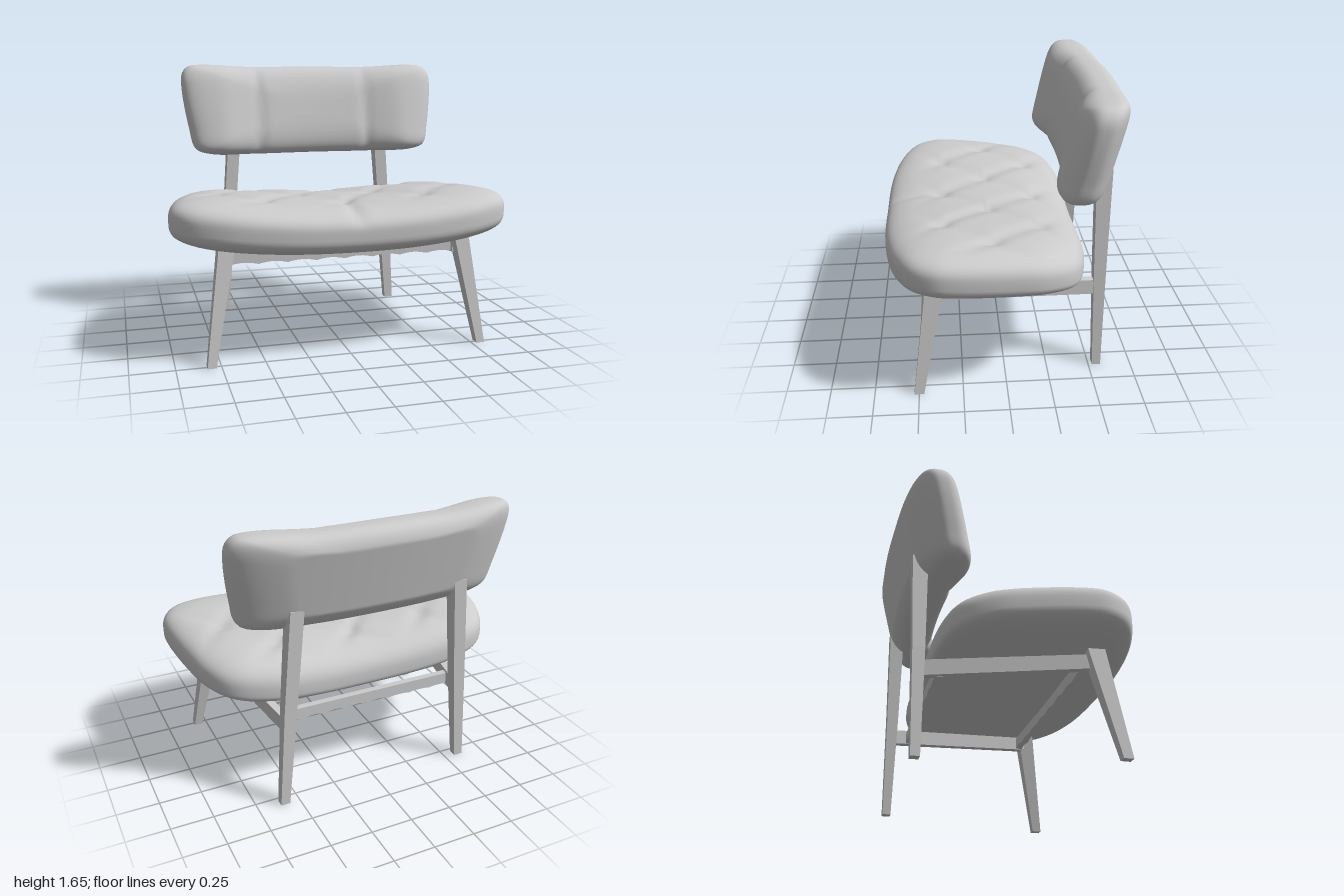
import * as THREE from 'three';
import { mergeVertices } from 'three/addons/utils/BufferGeometryUtils.js';

const RINGS = 36, SIDES = 160;
const { smoothstep, lerp } = THREE.MathUtils;
const gauss = (d, w) => Math.exp(-((d / w) ** 2));

// Closed smooth outline from its right half, mirrored across x = 0
function outline(half) {
  const left = half.slice(1, -1).reverse().map(([x, v]) => [-x, v]);
  const pts = [...half, ...left].map(([x, v]) => new THREE.Vector3(x, v, 0));
  return new THREE.CatmullRomCurve3(pts, true, 'centripetal').getSpacedPoints(SIDES).slice(0, SIDES);
}

// Closed cushion: rings grow from the middle of the show face to the rim and
// shrink back to the middle of the flat face. place(x, v, s, face) -> [x, y, z]
function cushion(name, half, centre, place, material) {
  const rim = outline(half), pos = [], index = [];
  for (let k = 0; k <= 2 * RINGS; k++) {
    const face = k <= RINGS ? 1 : -1;
    const s = k === 2 * RINGS ? 0 : Math.sin((k / RINGS) * Math.PI / 2);
    for (const p of rim) pos.push(...place(p.x * s, centre + (p.y - centre) * s, s, face));
  }
  for (let k = 0; k < 2 * RINGS; k++) {
    for (let i = 0; i < SIDES; i++) {
      const j = (i + 1) % SIDES;
      const a = k * SIDES + i, b = k * SIDES + j, c = a + SIDES, d = b + SIDES;
      if (k > 0) index.push(a, c, b);
      if (k < 2 * RINGS - 1) index.push(b, c, d);
    }
  }
  let geo = new THREE.BufferGeometry();
  geo.setAttribute('position', new THREE.Float32BufferAttribute(pos, 3));
  geo.setIndex(index);
  geo = mergeVertices(geo, 1e-5);
  geo.computeVertexNormals();
  const mesh = new THREE.Mesh(geo, material);
  mesh.name = name;
  return mesh;
}

// Rounded edge profile: 1 over the middle, 0 at the rim
const puff = (s, n) => Math.pow(Math.max(0, 1 - Math.pow(Math.abs(s), n)), 1 / n);
// Same with a flat middle that ends in a border line
const panel = (s, n) => Math.min(1, puff(s, n) * 1.15);

// Diamond tufting: distance to the nearest crease of a diagonal lattice
function tufting(x, z) {
  const u = x / 0.48, v = (z + 0.2) / 0.55;
  const near = (t) => Math.abs(t - Math.round(t));
  const a = near(u + v), b = near(u - v);
  const fade = smoothstep(0.95 - Math.abs(x), 0, 0.25) * smoothstep(0.55 - z, 0, 0.25) * smoothstep(z + 0.42, 0, 0.2);
  return fade * (0.014 * Math.max(gauss(a, 0.15), gauss(b, 0.15)) + 0.022 * gauss(Math.hypot(a, b), 0.14));
}

function placeSeat(x, z, s, face) {
  const mid = 0.69 + 0.08 * z + 0.08 * x * x;
  const top = 0.876 + 0.13 * x * x + 0.035 * z;
  const bottom = 0.587 + 0.05 * z + 0.06 * x * x;
  if (face < 0) return [x, mid + (bottom - mid) * panel(s, 4), z];
  // Short seam over the front edge
  const seam = 0.02 * gauss(x, 0.04) * smoothstep(z, 0.3, 0.5) * puff(s, 3);
  return [x, mid + (top - mid) * puff(s, 2.7) - tufting(x, z) - seam, z];
}

function placeBack(x, y, s, face) {
  const mid = -0.515 - 0.23 * (y - 1.36) + 0.06 * (x / 0.8) ** 2;
  if (face < 0) return [x, y, mid - 0.137 * panel(s, 2.7)];
  // Two vertical seams divide the front; the outer pads are fuller, most of all low down
  const seam = 0.014 * gauss(Math.abs(x) - 0.36, 0.035);
  const full = 0.14 + smoothstep(Math.abs(x), 0.36, 0.62) * (0.045 - 0.05 * (y - 1.36));
  return [x, y, mid + (full - seam) * puff(s, 3)];
}

// Tapered bar from p0 to p1; the section is [width, depth] at each end.
// Upright bars keep level sections, lying ones (running to -z) upright sections.
function bar(name, p0, p1, s0, s1, material, lying = false) {
  const geo = new THREE.BoxGeometry(1, 1, 1, 1, 4, 1), pos = geo.attributes.position;
  const a = new THREE.Vector3(...p0), b = new THREE.Vector3(...p1), p = new THREE.Vector3();
  for (let i = 0; i < pos.count; i++) {
    const t = pos.getY(i) + 0.5;
    const w = pos.getX(i) * lerp(s0[0], s1[0], t);
    const d = pos.getZ(i) * lerp(s0[1], s1[1], t);
    p.lerpVectors(a, b, t);
    pos.setXYZ(i, p.x + w, p.y + (lying ? d : 0), p.z + (lying ? 0 : d));
  }
  geo.computeVertexNormals();
  const mesh = new THREE.Mesh(geo, material);
  mesh.name = name;
  return mesh;
}

// Cross rail with a gently scalloped lower edge
function crossRail(name, halfLength, y0, y1, z, material) {
  const shape = new THREE.Shape();
  shape.moveTo(halfLength, y1);
  shape.lineTo(-halfLength, y1);
  const steps = 48;
  for (let i = 0; i <= steps; i++) {
    const x = -halfLength + (2 * halfLength * i) / steps;
    shape.lineTo(x, y0 + 0.012 * Math.abs(Math.sin((i / steps) * Math.PI * 8)));
  }
  const geo = new THREE.ExtrudeGeometry(shape, { depth: 0.04, bevelEnabled: false });
  geo.translate(0, 0, z - 0.02);
  const mesh = new THREE.Mesh(geo, material);
  mesh.name = name;
  return mesh;
}

export function createModel() {
  const chair = new THREE.Group();
  chair.name = 'loungeChair';
  const fabric = new THREE.MeshStandardMaterial({ color: 0xcccccc });
  const wood = new THREE.MeshStandardMaterial({ color: 0xcccccc, flatShading: true });

  // Cushions: the seat outline lies in x and z, the backrest outline in x and y
  const seatHalf = [[0, 0.68], [0.45, 0.668], [0.75, 0.61], [0.92, 0.52], [0.99, 0.4], [1, 0.3],
    [0.97, 0], [0.92, -0.22], [0.82, -0.37], [0.62, -0.445], [0, -0.46]];
  const backHalf = [[0, 1.075], [0.4, 1.075], [0.68, 1.085], [0.77, 1.12], [0.805, 1.25],
    [0.84, 1.5], [0.835, 1.59], [0.8, 1.635], [0.72, 1.648], [0.4, 1.634], [0, 1.636]];
  chair.add(cushion('seatCushion', seatHalf, 0.1, placeSeat, fabric));
  chair.add(cushion('backrest', backHalf, 1.36, placeBack, fabric));

  // Legs and side rails, mirrored
  for (const [side, m] of [['left', 1], ['right', -1]]) {
    chair.add(
      bar(side + 'FrontLeg', [0.805 * m, 0, 0.5], [0.7 * m, 0.65, 0.395], [0.05, 0.055], [0.09, 0.1], wood),
      bar(side + 'BackLegLower', [0.59 * m, 0, -0.547], [0.545 * m, 0.62, -0.547], [0.055, 0.05], [0.075, 0.07], wood),
      bar(side + 'BackLegUpper', [0.545 * m, 0.62, -0.547], [0.5 * m, 1.22, -0.553], [0.075, 0.07], [0.08, 0.09], wood),
      bar(side + 'SideRail', [0.69 * m, 0.58, 0.39], [0.55 * m, 0.505, -0.53], [0.045, 0.085], [0.045, 0.09], wood, true),
    );
  }

  // Cross rails between the side rails
  chair.add(crossRail('frontRail', 0.68, 0.535, 0.61, 0.35, wood));
  chair.add(crossRail('backRail', 0.56, 0.465, 0.54, -0.43, wood));
  return chair;
}
